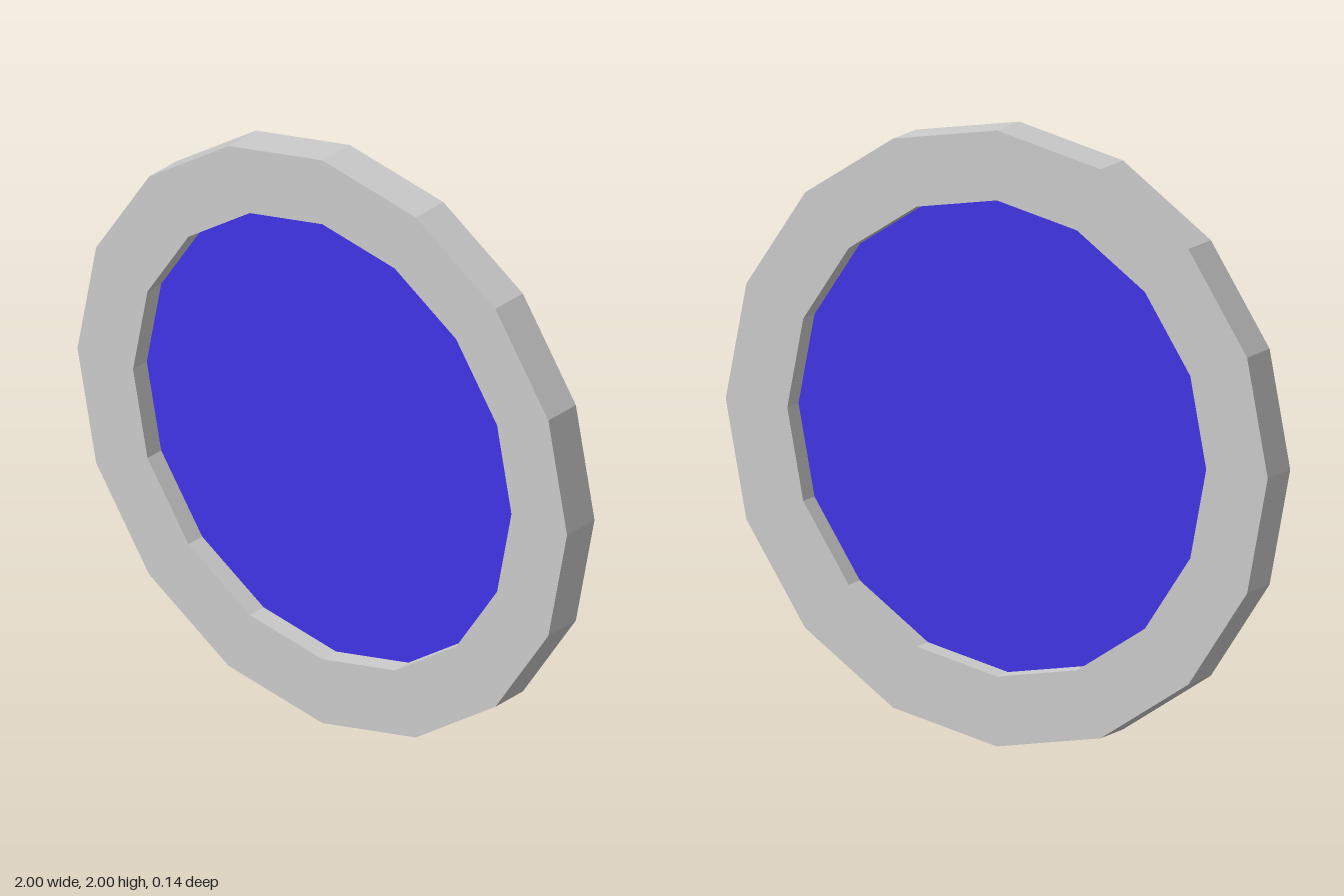
import * as THREE from 'three';

const SIDES = 16, OUTER = 1, INNER = 0.773, DEPTH = 0.136;

// Regular polygon corners with a corner on +x
function polygon(radius) {
  return Array.from({ length: SIDES }, (_, i) => {
    const a = (i / SIDES) * Math.PI * 2;
    return new THREE.Vector2(Math.cos(a) * radius, Math.sin(a) * radius);
  });
}

export function createModel() {
  const model = new THREE.Group();
  model.name = 'framedDisc';

  // Faceted ring, open through the middle
  const outline = new THREE.Shape(polygon(OUTER));
  outline.holes.push(new THREE.Path(polygon(INNER)));
  const ringGeometry = new THREE.ExtrudeGeometry(outline, { depth: DEPTH, bevelEnabled: false });
  ringGeometry.translate(0, 0, -DEPTH / 2);
  const ring = new THREE.Mesh(
    ringGeometry,
    new THREE.MeshStandardMaterial({ color: 0xcccccc, flatShading: true })
  );
  ring.name = 'ring';

  // Thin blue pane halfway through the ring, seen from both sides
  const pane = new THREE.Mesh(
    new THREE.CircleGeometry(INNER, SIDES),
    new THREE.MeshStandardMaterial({ color: 0x4033e6, side: THREE.DoubleSide })
  );
  pane.name = 'pane';

  ring.position.y = pane.position.y = OUTER;
  model.add(ring, pane);
  return model;
}
